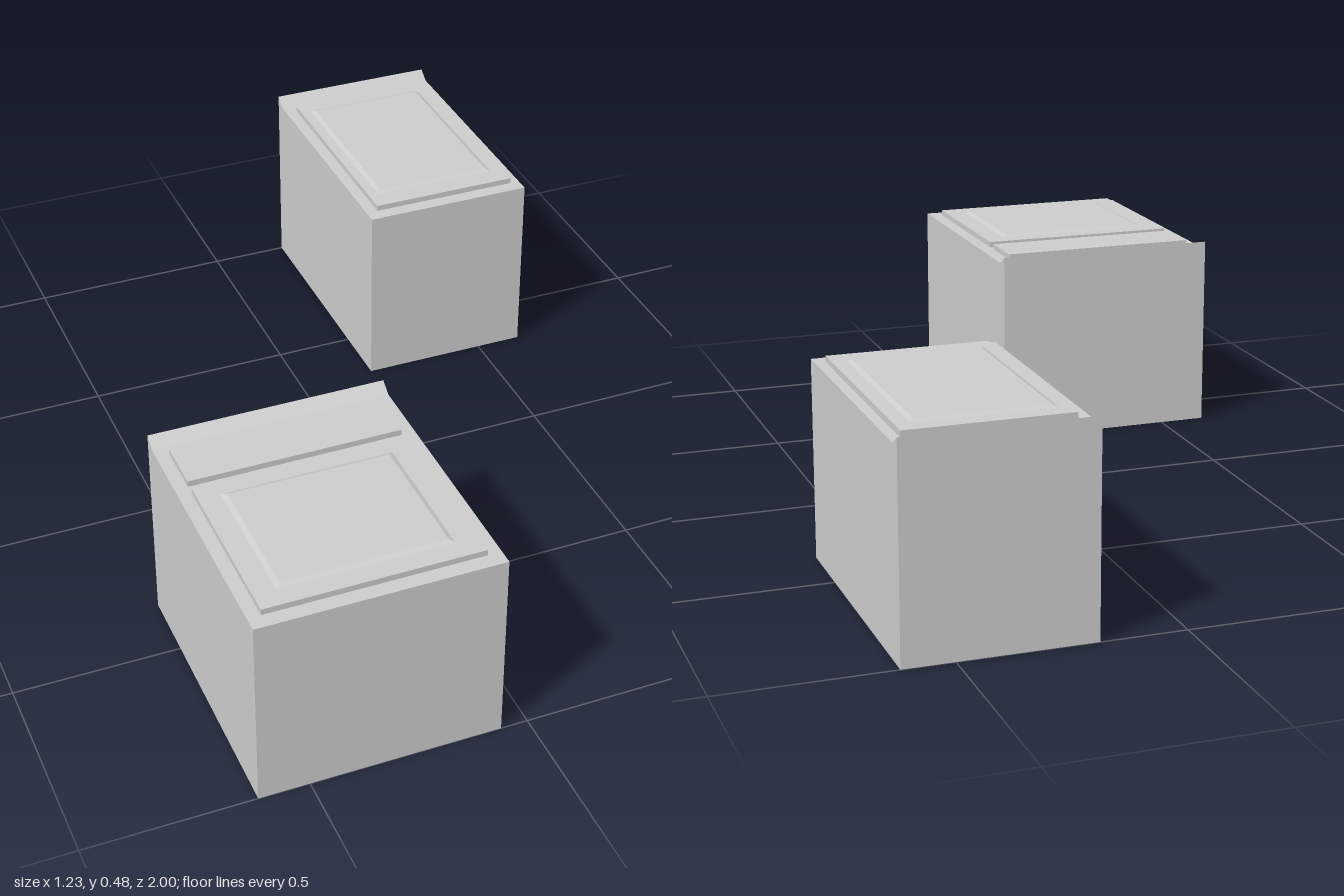
import * as THREE from 'three';

const material = new THREE.MeshStandardMaterial({ color: 0xcccccc, flatShading: true });
const BODY_TOP = 0.46, FACE_TOP = 0.474, PANEL_TOP = 0.479;

function addMesh(group, name, geometry) {
  const mesh = new THREE.Mesh(geometry, material);
  mesh.name = name;
  group.add(mesh);
  return mesh;
}

// Cabinet carcass lying on its back: side profile with a flared lip at the -z end
function bodyGeometry(x0, x1, z0, z1) {
  const profile = new THREE.Shape([
    [-z1, 0], [-z0, 0], [-z0, 0.48], [-z0 - 0.03, BODY_TOP], [-z1, BODY_TOP],
  ].map(([x, y]) => new THREE.Vector2(x, y)));
  return new THREE.ExtrudeGeometry(profile, { depth: x1 - x0, bevelEnabled: false })
    .rotateY(Math.PI / 2)
    .translate(x0, 0, 0);
}

// Slab whose upper face is drawn in by a bevel
function slabGeometry([x0, x1, z0, z1], y0, y1, inset = 0) {
  const w = x1 - x0, d = z1 - z0, h = y1 - y0;
  const g = new THREE.BoxGeometry(w, h, d);
  const p = g.attributes.position;
  for (let i = 0; i < p.count; i++) {
    if (p.getY(i) > 0) {
      p.setX(i, p.getX(i) - Math.sign(p.getX(i)) * inset);
      p.setZ(i, p.getZ(i) - Math.sign(p.getZ(i)) * inset);
    }
  }
  g.computeVertexNormals();
  return g.translate((x0 + x1) / 2, (y0 + y1) / 2, (z0 + z1) / 2);
}

function cabinet({ name, body, door, panel, drawer }) {
  const group = new THREE.Group();
  group.name = name;
  addMesh(group, 'cabinetBody', bodyGeometry(...body));
  addMesh(group, 'door', slabGeometry(door, BODY_TOP, FACE_TOP));
  addMesh(group, 'raisedDoorPanel', slabGeometry(panel, FACE_TOP, PANEL_TOP, 0.011));
  if (drawer) addMesh(group, 'drawerFront', slabGeometry(drawer, BODY_TOP, FACE_TOP));
  return group;
}

export function createModel() {
  const model = new THREE.Group();
  model.name = 'cabinets';
  // Rectangles are [x0, x1, z0, z1]
  model.add(cabinet({
    name: 'drawerCabinet',
    body: [-0.615, -0.062, 0.34, 1],
    door: [-0.585, -0.094, 0.546, 0.965],
    panel: [-0.535, -0.145, 0.587, 0.918],
    drawer: [-0.585, -0.094, 0.397, 0.52],
  }));
  model.add(cabinet({
    name: 'doorCabinet',
    body: [0.193, 0.615, -1, -0.34],
    door: [0.222, 0.591, -0.942, -0.375],
    panel: [0.247, 0.559, -0.9, -0.428],
  }));
  return model;
}
